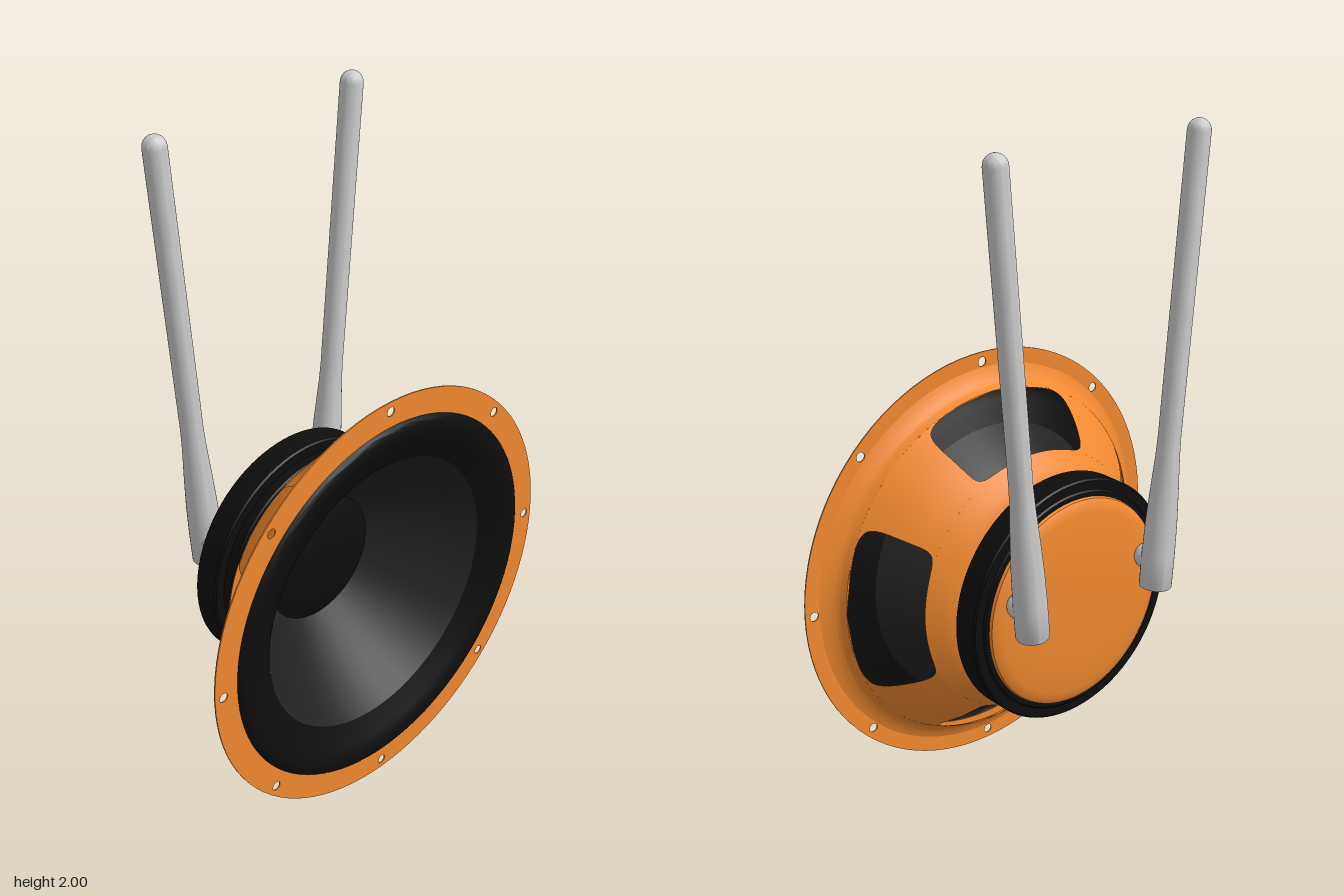
import * as THREE from 'three';
import { toCreasedNormals } from 'three/addons/utils/BufferGeometryUtils.js';
import { ParametricGeometry } from 'three/addons/geometries/ParametricGeometry.js';

const mat = (color) => new THREE.MeshStandardMaterial({ color, side: THREE.DoubleSide });
const orange = mat(0xf28a30), black = mat(0x0d0d0d), coneGrey = mat(0x222222), grey = mat(0xcccccc);

const vec = (pts) => pts.map(([r, z]) => new THREE.Vector2(r, z));
const smooth = (pts, n = 16) => new THREE.SplineCurve(vec(pts)).getPoints(n);

function add(parent, name, geometry, material) {
  const mesh = new THREE.Mesh(geometry, material);
  mesh.name = name;
  parent.add(mesh);
  return mesh;
}

// Revolve a (radius, z) profile around the z axis
function turned(points, crease = 0.6) {
  return toCreasedNormals(new THREE.LatheGeometry(points, 96).rotateX(Math.PI / 2), crease);
}

export function createModel() {
  const model = new THREE.Group();
  const speaker = new THREE.Group();
  speaker.name = 'speaker';
  speaker.position.y = 0.65;
  model.add(speaker);

  // Thin mounting flange with eight screw holes
  const ring = new THREE.Shape().absarc(0, 0, 0.65, 0, Math.PI * 2);
  ring.holes.push(new THREE.Path().absarc(0, 0, 0.555, 0, Math.PI * 2, true));
  for (let i = 0; i < 8; i++) {
    const a = (i * Math.PI) / 4;
    ring.holes.push(new THREE.Path().absarc(0.62 * Math.cos(a), 0.62 * Math.sin(a), 0.014, 0, Math.PI * 2, true));
  }
  const flange = new THREE.ExtrudeGeometry(ring, { depth: 0.004, bevelEnabled: false, curveSegments: 48 });
  add(speaker, 'flange', flange.translate(0, 0, 0.262), orange);

  // Basket: front rim, rear collar and four ribs between the windows
  add(speaker, 'basketRim', turned(smooth([[0.545, 0.21], [0.557, 0.235], [0.58, 0.252], [0.605, 0.263]])), orange);
  add(speaker, 'basketCollar', turned(smooth([[0.30, -0.025], [0.345, -0.005], [0.4, 0.037]])), orange);
  const side = new THREE.SplineCurve(vec([[0.4, 0.037], [0.447, 0.08], [0.49, 0.13], [0.545, 0.21]]));
  const halfWindow = THREE.MathUtils.degToRad(28.8);
  const rib = (u, v, target) => {
    const t = (1 - Math.cos(Math.PI * v)) / 2;
    const open = halfWindow * Math.pow(Math.max(0, 1 - Math.pow(Math.abs(2 * t - 1), 6)), 1 / 6);
    const a = open + u * (Math.PI / 2 - 2 * open);
    const p = side.getPoint(t);
    target.set(p.x * Math.cos(a), p.x * Math.sin(a), p.y);
  };
  for (let i = 0; i < 4; i++) {
    add(speaker, 'basketRib', new ParametricGeometry(rib, 24, 40), orange).rotation.z = (i * Math.PI) / 2;
  }

  // Surround, cone and dust cap
  add(speaker, 'surround', turned(smooth(
    [[0.573, 0.264], [0.565, 0.274], [0.545, 0.28], [0.515, 0.276], [0.47, 0.255], [0.428, 0.235]], 24)), black);
  add(speaker, 'cone', turned(smooth([[0.43, 0.238], [0.355, 0.145], [0.275, 0.06], [0.2, -0.01]])), coneGrey);
  add(speaker, 'dustCap', turned(smooth([[0.2, -0.01], [0.15, 0.008], [0.08, 0.02], [0, 0.024]])), black);

  // Magnet with a stepped edge
  add(speaker, 'magnet', turned(vec([
    [0, -0.146], [0.33, -0.146], [0.335, -0.141], [0.362, -0.141], [0.367, -0.136], [0.367, -0.063],
    [0.362, -0.058], [0.333, -0.058], [0.333, -0.03], [0.328, -0.025], [0, -0.025]])), black);

  // Shallow domed back plate
  add(speaker, 'backPlate', turned(vec([
    [0, -0.177], [0.19, -0.176], [0.28, -0.167], [0.3, -0.163], [0.314, -0.155], [0.318, -0.143]])), orange);

  // Pair of leaning rods, each on a round-ended pin
  const rodProfile = vec([[0, 0], [0.046, 0], [0.048, 0.003], [0.048, 0.1], [0.046, 0.2], [0.041, 0.3], [0.035, 0.4], [0.033, 0.46], [0.033, 1.317]]);
  for (let i = 1; i <= 6; i++) {
    const a = (i * Math.PI) / 12;
    rodProfile.push(new THREE.Vector2(Math.max(0, 0.033 * Math.cos(a)), 1.317 + 0.033 * Math.sin(a)));
  }
  const rodGeometry = toCreasedNormals(new THREE.LatheGeometry(rodProfile, 32), 0.6);
  const pinGeometry = new THREE.CapsuleGeometry(0.04, 0.02, 8, 24).rotateX(Math.PI / 2);
  for (const s of [1, -1]) {
    const arm = new THREE.Group();
    arm.name = s > 0 ? 'leftRod' : 'rightRod';
    arm.position.set(s * 0.236, 0.655, -0.236);
    arm.rotation.z = -s * 0.086;
    add(arm, 'rod', rodGeometry, grey);
    add(arm, 'pin', pinGeometry, grey).position.set(0, 0.08, 0.031);
    model.add(arm);
  }
  return model;
}
